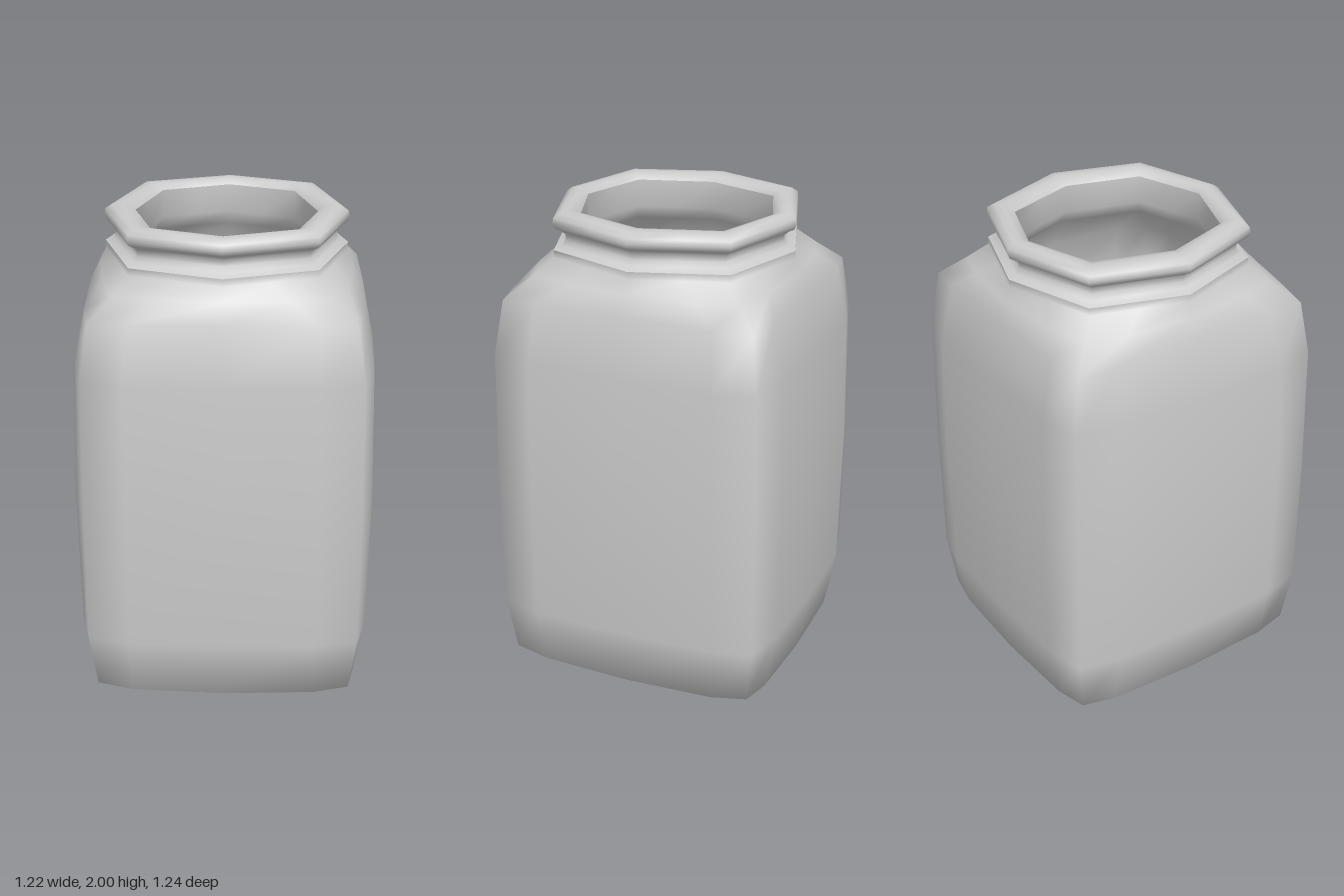
import * as THREE from 'three';

// A ring has 16 points: per quarter a side middle, a point beside it, a corner, a point beside the next side.
// m, n, c: distance from the axis at middle, near-corner point and corner; a: offset of the near point along the side.
const square = (m, n, a, c, y, yc = y, sx = 0.983) => ({ m, n, a, c, y, yc, sx });

// Eight-sided ring: near points lie halfway along the straight edges
const octagon = (r, y, sx = 0.98) => square(r, 0.875 * r, 0.375 * r, 0.75 * r, y, y, sx);

function ringPoints({ m, n, a, c, y, yc, sx }) {
  const quarter = [[0, m, y], [a, n, (y * 2 + yc) / 3], [c, c, yc], [n, a, (y * 2 + yc) / 3]];
  const out = [];
  for (let k = 0; k < 4; k++) {
    for (const [px, pz, py] of quarter) {
      let x = px, z = pz;
      for (let r = 0; r < k; r++) [x, z] = [z, -x];
      out.push(x * sx, py, z);
    }
  }
  return out;
}

// Skin a stack of rings with smooth normals, optionally closed by a centre point at the first or last ring
function loft(name, rings, material, startY = null, endY = null) {
  const pos = rings.flatMap(ringPoints);
  const index = [];
  const N = 16;
  for (let i = 0; i < rings.length - 1; i++) {
    for (let j = 0; j < N; j++) {
      const k = (j + 1) % N;
      const a = i * N + j, b = i * N + k, c = b + N, d = a + N;
      index.push(a, b, c, a, c, d);
    }
  }
  const cap = (ring, y, flip) => {
    const centre = pos.length / 3;
    pos.push(0, y, 0);
    for (let j = 0; j < N; j++) {
      const a = ring * N + j, b = ring * N + ((j + 1) % N);
      if (flip) index.push(centre, b, a);
      else index.push(centre, a, b);
    }
  };
  if (startY !== null) cap(0, startY, true);
  if (endY !== null) cap(rings.length - 1, endY, false);
  const geometry = new THREE.BufferGeometry();
  geometry.setAttribute('position', new THREE.Float32BufferAttribute(pos, 3));
  geometry.setIndex(index);
  geometry.computeVertexNormals();
  const mesh = new THREE.Mesh(geometry, material);
  mesh.name = name;
  return mesh;
}

export function createModel() {
  const group = new THREE.Group();
  group.name = 'jar';
  const material = new THREE.MeshStandardMaterial({ color: 0xcccccc, side: THREE.DoubleSide });

  // Bulging square body, rising through the shoulder to the collar
  group.add(loft('body', [
    square(0.39, 0.385, 0.26, 0.37, 0.025, 0.04),
    square(0.56, 0.55, 0.38, 0.525, 0.08, 0.1),
    square(0.605, 0.595, 0.385, 0.555, 0.33),
    square(0.62, 0.607, 0.39, 0.56, 0.9),
    square(0.608, 0.598, 0.385, 0.555, 1.45),
    square(0.56, 0.55, 0.37, 0.525, 1.69, 1.67),
    square(0.517, 0.49, 0.27, 0.435, 1.765, 1.755),
    octagon(0.497, 1.82),
    octagon(0.497, 1.85),
  ], material, 0));

  // Collar ledge and the groove under the lip
  group.add(loft('neck', [
    octagon(0.497, 1.85),
    octagon(0.465, 1.865),
    octagon(0.45, 1.885),
    octagon(0.45, 1.91),
    octagon(0.468, 1.925),
  ], material));

  // Rounded lip, ending at the edge of the mouth
  group.add(loft('lip', [
    octagon(0.468, 1.925),
    octagon(0.491, 1.937),
    octagon(0.5, 1.957),
    octagon(0.495, 1.98),
    octagon(0.47, 1.997),
    octagon(0.44, 2.0, 0.96),
    octagon(0.415, 1.993, 0.93),
    octagon(0.4, 1.975, 0.91),
  ], material));

  // Hollow inside, from the mouth down to the floor
  group.add(loft('innerWall', [
    octagon(0.4, 1.975, 0.91),
    octagon(0.4, 1.86, 0.91),
    octagon(0.43, 1.8, 0.95),
    square(0.5, 0.49, 0.33, 0.46, 1.66, 1.63),
    square(0.55, 0.54, 0.35, 0.5, 1.43),
    square(0.56, 0.548, 0.35, 0.505, 0.9),
    square(0.545, 0.535, 0.35, 0.5, 0.34),
    square(0.5, 0.49, 0.33, 0.47, 0.14, 0.16),
    square(0.35, 0.345, 0.23, 0.33, 0.085, 0.1),
  ], material, null, 0.06));

  return group;
}
